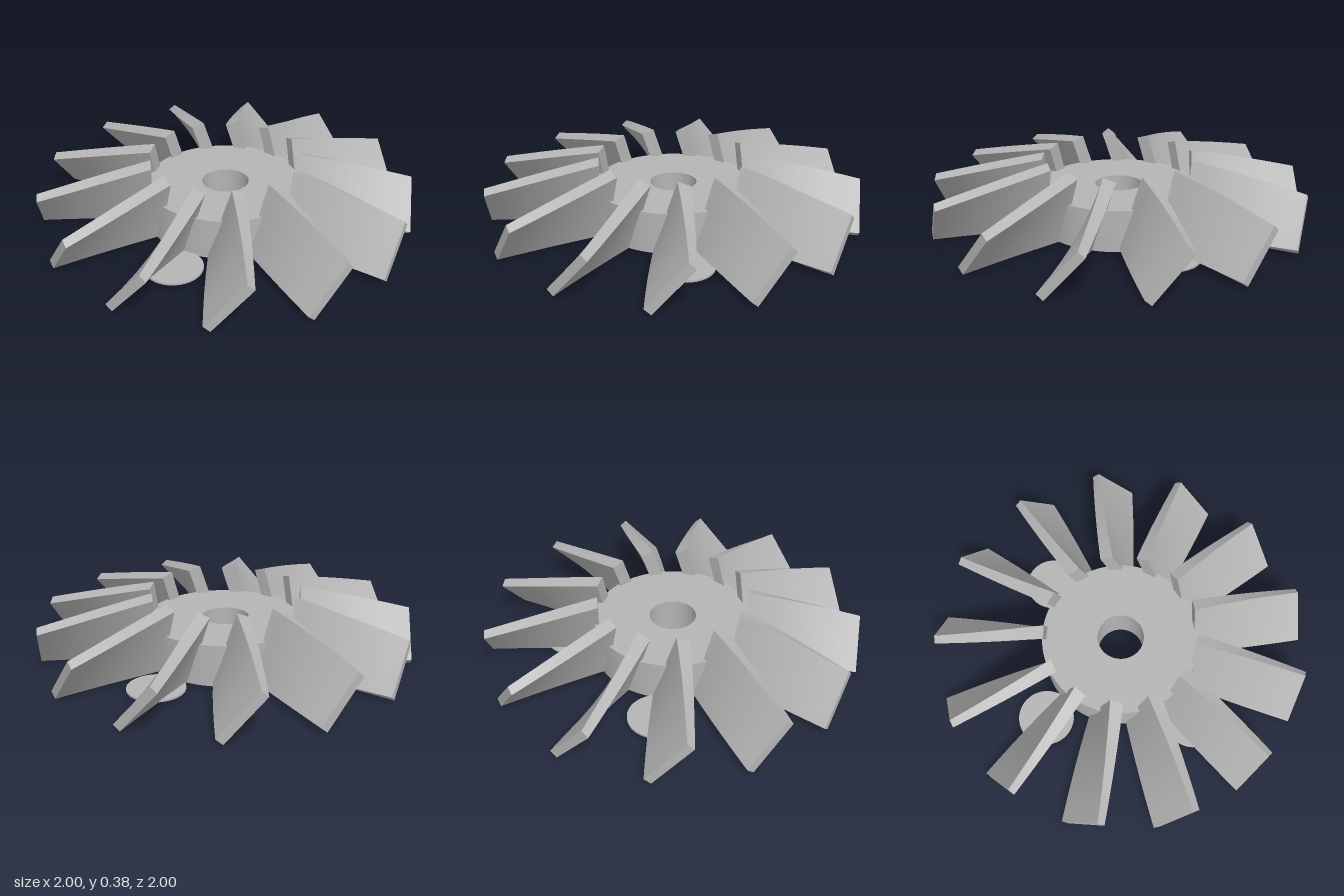
import * as THREE from 'three';
import { toCreasedNormals } from 'three/addons/utils/BufferGeometryUtils.js';

const BLADES = 13, ROOT = 0.4, TIP = 0.995, STEPS = 10;

// Rectangular blade section at t (0 root, 1 tip), pitched and resting on y = 0
function section(t) {
  const pitch = THREE.MathUtils.degToRad(THREE.MathUtils.lerp(18, 41, t));
  const chord = THREE.MathUtils.lerp(0.38, 0.3, t) / 2;
  const thick = THREE.MathUtils.lerp(0.07, 0.045, t) / 2;
  const s = Math.sin(pitch), c = Math.cos(pitch);
  const x = THREE.MathUtils.lerp(ROOT, TIP, t);
  const mid = chord * c + thick * s;
  return [[1, -1], [1, 1], [-1, 1], [-1, -1]].map(([a, b]) =>
    [x, mid - a * chord * c + b * thick * s, a * chord * s + b * thick * c]);
}

// Twisted blade lofted through the sections, with both ends closed
function bladeGeometry() {
  const pos = [];
  const quad = (a, b, c, d) => pos.push(...a, ...b, ...c, ...a, ...c, ...d);
  for (let i = 0; i < STEPS; i++) {
    const p = section(i / STEPS), q = section((i + 1) / STEPS);
    for (let k = 0; k < 4; k++) {
      const n = (k + 1) % 4;
      quad(p[k], q[k], q[n], p[n]);
    }
  }
  quad(...section(0));
  quad(...section(1).reverse());
  const g = new THREE.BufferGeometry();
  g.setAttribute('position', new THREE.Float32BufferAttribute(pos, 3));
  g.computeVertexNormals();
  return toCreasedNormals(g, 0.5);
}

export function createModel() {
  const model = new THREE.Group();
  model.name = 'fanRotor';
  const grey = new THREE.MeshStandardMaterial({ color: 0xb4b4b4 });
  grey.name = 'grey';

  const add = (name, geometry) => {
    const mesh = new THREE.Mesh(geometry, grey);
    mesh.name = name;
    model.add(mesh);
    return mesh;
  };

  // Hub with a round shaft bore
  const disc = new THREE.Shape().absarc(0, 0, 0.425, 0, Math.PI * 2, false);
  disc.holes.push(new THREE.Path().absarc(0, 0, 0.125, 0, Math.PI * 2, true));
  const hub = new THREE.ExtrudeGeometry(disc, { depth: 0.22, bevelEnabled: false, curveSegments: 48 });
  hub.rotateX(-Math.PI / 2);
  add('hub', toCreasedNormals(hub, 0.6));

  // Ring of blades
  const blade = bladeGeometry();
  const phase = THREE.MathUtils.degToRad(2.8);
  for (let i = 0; i < BLADES; i++) {
    add('blade', blade).rotation.y = -(phase + i * Math.PI * 2 / BLADES);
  }

  // Four thin round pads beneath the hub edge
  const pad = new THREE.CylinderGeometry(0.15, 0.15, 0.01, 40);
  const start = Math.atan2(0.35, -0.44);
  for (let i = 0; i < 4; i++) {
    const a = start + i * Math.PI / 2;
    add('pad', pad).position.set(0.565 * Math.cos(a), 0.005, 0.565 * Math.sin(a));
  }
  return model;
}
